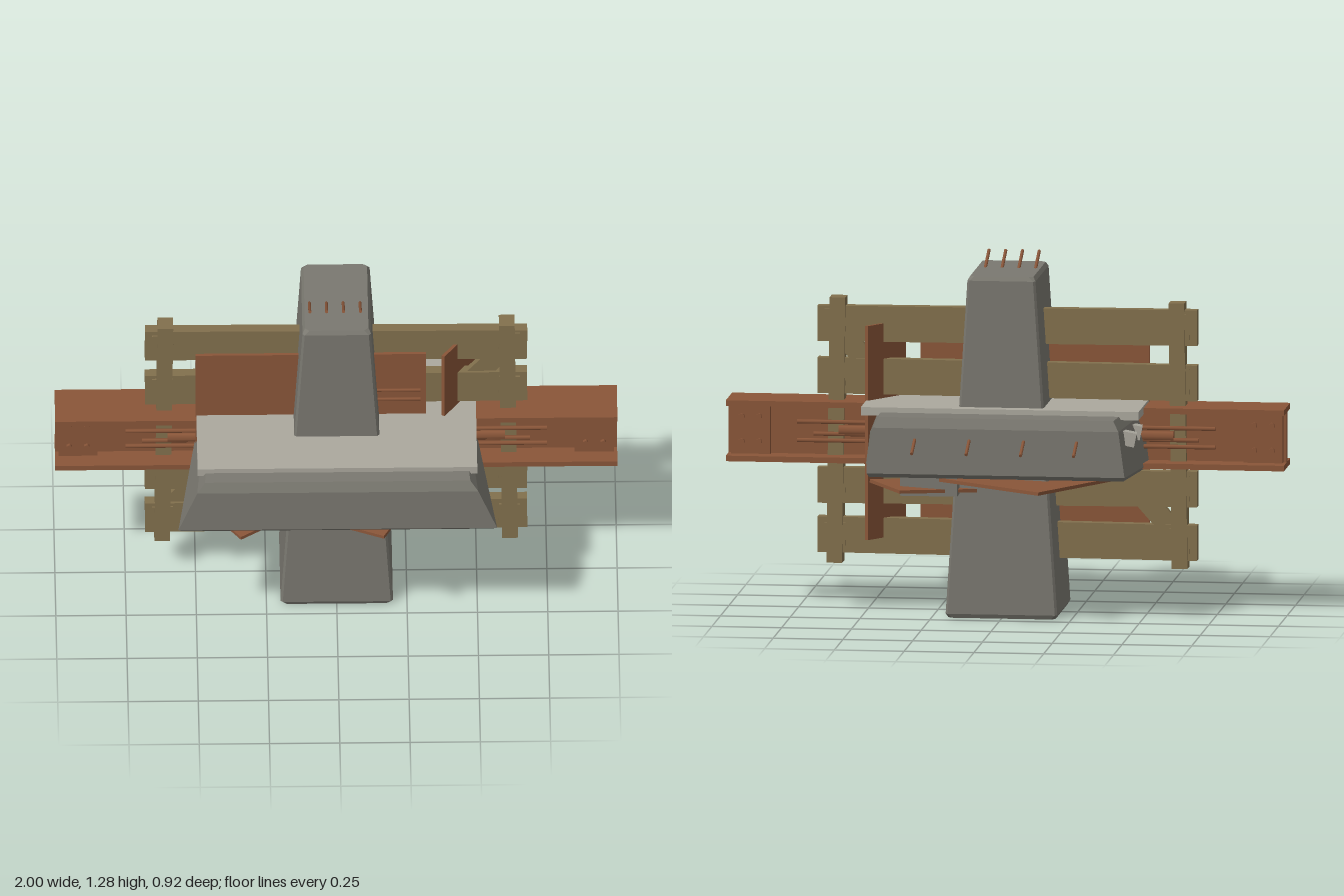
import * as THREE from 'three';
import { ConvexGeometry } from 'three/addons/geometries/ConvexGeometry.js';

const mat = (name, color, extra = {}) => {
  const m = new THREE.MeshStandardMaterial({ color, ...extra });
  m.name = name;
  return m;
};

export function createModel() {
  const concrete = mat('concrete', 0x7a7870);
  const paleConcrete = mat('paleConcrete', 0xaba89e);
  const rust = mat('rust', 0x8a5639);
  const wood = mat('wood', 0x82704d);

  const model = new THREE.Group();
  model.name = 'barricade';

  const add = (name, geo, material, pos = [0, 0, 0], rot = [0, 0, 0], parent = model) => {
    const m = new THREE.Mesh(geo, material);
    m.name = name;
    m.position.set(...pos);
    m.rotation.set(...rot);
    parent.add(m);
    return m;
  };
  const box = (name, size, material, pos, rot, parent) =>
    add(name, new THREE.BoxGeometry(...size), material, pos, rot, parent);
  const rod = (name, a, b, r, parent = model) => {
    const p = new THREE.Vector3(...a), q = new THREE.Vector3(...b);
    const m = add(name, new THREE.CylinderGeometry(r, r, p.distanceTo(q), 6), rust, [0, 0, 0], [0, 0, 0], parent);
    m.position.copy(p).add(q).multiplyScalar(0.5);
    m.quaternion.setFromUnitVectors(new THREE.Vector3(0, 1, 0), q.sub(p).normalize());
  };
  const group = (name) => {
    const g = new THREE.Group();
    g.name = name;
    model.add(g);
    return g;
  };

  // Tapered pillar with clipped corners
  const clip = (hx, hz, y, c) => {
    const out = [];
    for (const sx of [-1, 1]) for (const sz of [-1, 1]) {
      out.push(new THREE.Vector3(sx * (hx - c), y, sz * hz), new THREE.Vector3(sx * hx, y, sz * (hz - c)));
    }
    return out;
  };
  add('pillar', new ConvexGeometry([
    ...clip(0.192, 0.192, 0, 0.015), ...clip(0.2, 0.2, 0.015, 0.008),
    ...clip(0.122, 0.2, 1.215, 0.008), ...clip(0.113, 0.192, 1.23, 0.015),
  ]), concrete);

  // Cross slab, wider at the front and at its base
  const slabPoints = [];
  for (const s of [-1, 1]) {
    for (const [x, y, z] of [
      [0.55, 0.525, 0.44], [0.567, 0.54, 0.455], [0.5, 0.705, 0.455], [0.472, 0.742, 0.44],
      [0.455, 0.525, -0.35], [0.462, 0.54, -0.365], [0.44, 0.705, -0.365], [0.42, 0.742, -0.35],
    ]) slabPoints.push(new THREE.Vector3(s * x, y, z));
  }
  add('slab', new ConvexGeometry(slabPoints), concrete);
  box('slabTopPlate', [0.995, 0.03, 0.63], paleConcrete, [0, 0.745, 0.07]);
  box('underBlock', [0.205, 0.085, 0.54], concrete, [0.252, 0.49, 0]);
  for (const z of [-0.27, -0.1]) box('endBlock', [0.06, 0.05, 0.05], paleConcrete, [-0.46, 0.67, z], [0, 0.1, 0.2]);

  // Steel I-beam through the slab
  const beam = group('steelBeam');
  for (const y of [0.543, 0.742]) box('beamFlange', [2, 0.02, 0.186], rust, [0, y, 0], [0, 0, 0], beam);
  box('beamWeb', [2, 0.19, 0.02], rust, [0, 0.6425, 0], [0, 0, 0], beam);
  for (const sx of [-1, 1]) for (const sz of [-1, 1]) {
    box('boltPlate', [0.14, 0.18, 0.025], rust, [sx * 0.918, 0.6425, sz * 0.022], [0, 0, 0], beam);
    for (const x of [0.887, 0.95]) for (const y of [0.598, 0.688]) {
      add('bolt', new THREE.CylinderGeometry(0.011, 0.011, 0.012, 6), rust,
        [sx * x, y, sz * 0.04], [Math.PI / 2, 0, 0], beam);
    }
    // Reinforcing bars leaving the slab ends
    for (const [y, x] of [[0.675, 0.75], [0.632, 0.69], [0.608, 0.75]]) {
      rod('endBar', [sx * 0.4, y, sz * 0.05], [sx * x, y, sz * 0.05], 0.008, beam);
    }
    rod('endPipe', [sx * 0.4, 0.645, sz * 0.045], [sx * 0.6, 0.645, sz * 0.045], 0.02, beam);
  }

  // Wooden fence: two posts, four rails and braces
  const fence = group('fence');
  for (const s of [-1, 1]) {
    box('fencePost', [0.056, 0.955, 0.066], wood, [s * 0.613, 0.643, 0], [0, 0, s * 0.012], fence);
    for (const y of [0.26, 0.45, 0.835, 1.03]) {
      box('railCleat', [0.074, 0.1, 0.05], wood, [s * 0.616, y, 0], [0, 0, -s * 0.02], fence);
    }
    box('fenceBrace', [0.24, 0.075, 0.026], wood,
      [s * 0.51, 0.643 + s * 0.25, -0.004], [0, 0, 0.85], fence);
  }
  [[0.262, 0.006], [0.447, -0.006], [0.835, 0.004], [1.028, -0.005]].forEach(([y, tilt]) =>
    box('fenceRail', [1.36, 0.128, 0.04], wood, [0, y, -0.002], [0, 0, tilt], fence));

  // Rusty upright sheets
  box('frontSheet', [0.82, 0.77, 0.012], rust, [-0.09, 0.643, 0.066]);
  box('angledSheet', [0.21, 0.77, 0.012], rust, [0.438, 0.643, -0.002], [0, 0.985, 0]);
  for (const y of [0.83, 0.87]) rod('sheetBar', [0.14, y, 0.076], [0.3, y, 0.076], 0.006);

  // Loose sheets wedged under the slab
  const sheets = group('looseSheets');
  const loose = (name, size, y, turn, tilt) => {
    const pivot = new THREE.Group();
    pivot.name = name + 'Pivot';
    pivot.position.y = y;
    pivot.rotation.z = tilt;
    sheets.add(pivot);
    box(name, size, rust, [0, 0, 0], [0, turn, 0], pivot);
  };
  loose('squareSheet', [0.706, 0.012, 0.675], 0.498, -0.464, 0.04);
  loose('longSheet', [0.98, 0.012, 0.24], 0.455, 0.58, 0.06);

  // Bent bars on the pillar top and the slab back
  for (const x of [-0.095, -0.035, 0.025, 0.085]) rod('topBar', [x, 1.215, 0], [x, 1.275, 0.14], 0.006);
  for (const x of [-0.29, -0.1, 0.095, 0.29]) rod('backBar', [x, 0.69, -0.3], [x, 0.627, -0.455], 0.006);

  return model;
}
